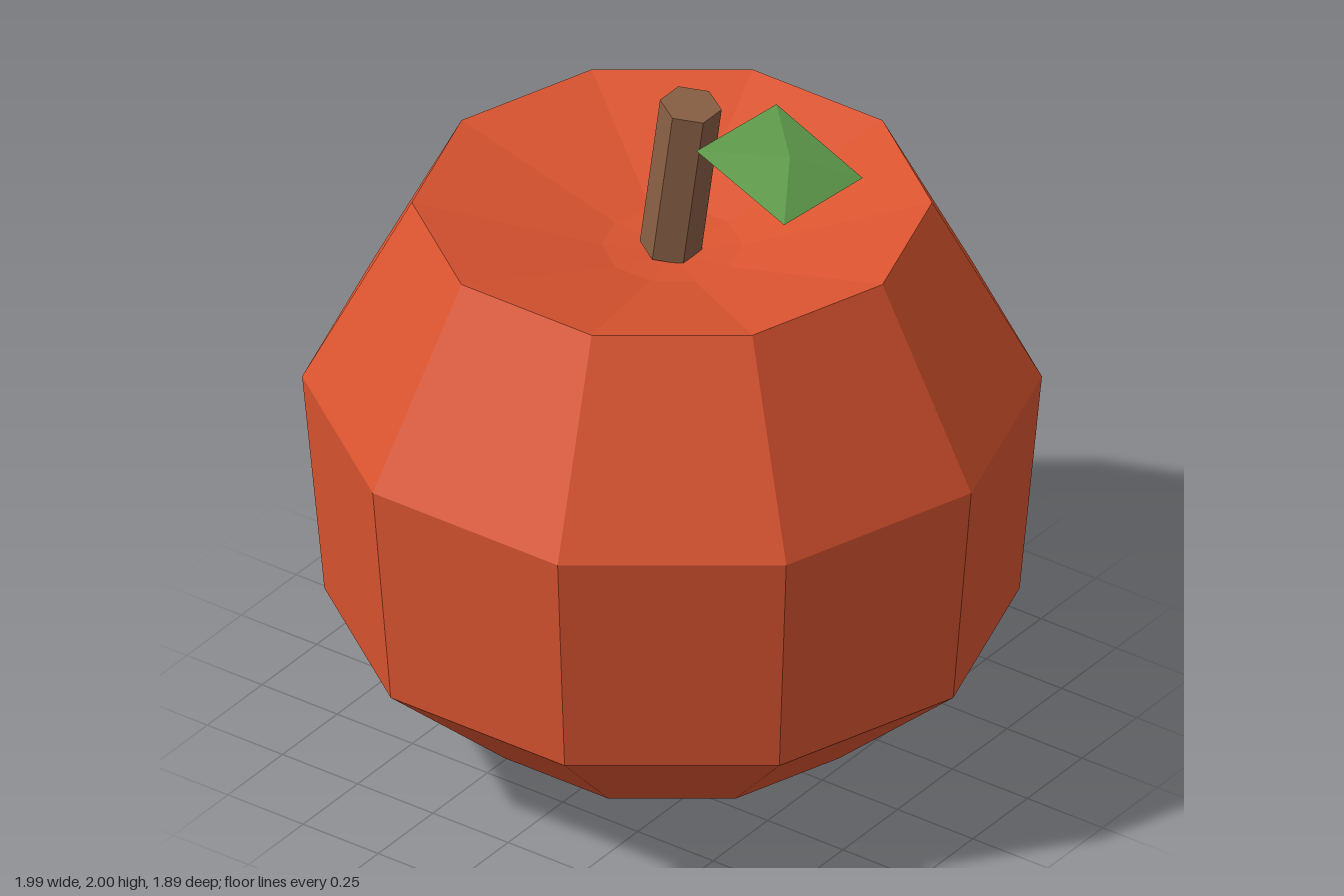
import * as THREE from 'three';
import { ConvexGeometry } from 'three/addons/geometries/ConvexGeometry.js';

function material(name, color) {
  const m = new THREE.MeshStandardMaterial({ color, flatShading: true });
  m.name = name;
  return m;
}

export function createModel() {
  const group = new THREE.Group();
  group.name = 'fruit';
  const add = (name, geometry, mat) => {
    const mesh = new THREE.Mesh(geometry, mat);
    mesh.name = name;
    group.add(mesh);
    return mesh;
  };

  // Ten-sided body with a dished top, corners on the x axis
  const profile = [
    [0, 0], [0.555, 0.09], [0.935, 0.425], [0.995, 1.1],
    [0.7, 1.655], [0.19, 1.52], [0, 1.5],
  ].map(([r, y]) => new THREE.Vector2(r, y));
  add('body', new THREE.LatheGeometry(profile, 10, Math.PI / 10), material('orange red', 0xdb5430));

  // Six-sided stem leaning to the model's left
  const stem = add('stem', new THREE.CylinderGeometry(0.084, 0.084, 0.48, 6), material('brown', 0x8a5f45));
  stem.position.set(0.029, 1.752, 0);
  stem.rotation.z = -0.14;

  // Floating diamond leaf: four corners and an apex above and below
  const leafPoints = [
    [0.19, 1.967, 0.15], [0.22, 1.96, -0.175],
    [0.5, 1.86, 0.175], [0.525, 1.852, -0.15],
    [0.392, 1.946, 0], [0.335, 1.882, 0],
  ].map((p) => new THREE.Vector3(...p));
  add('leaf', new ConvexGeometry(leafPoints), material('leaf green', 0x629f4d));

  return group;
}
